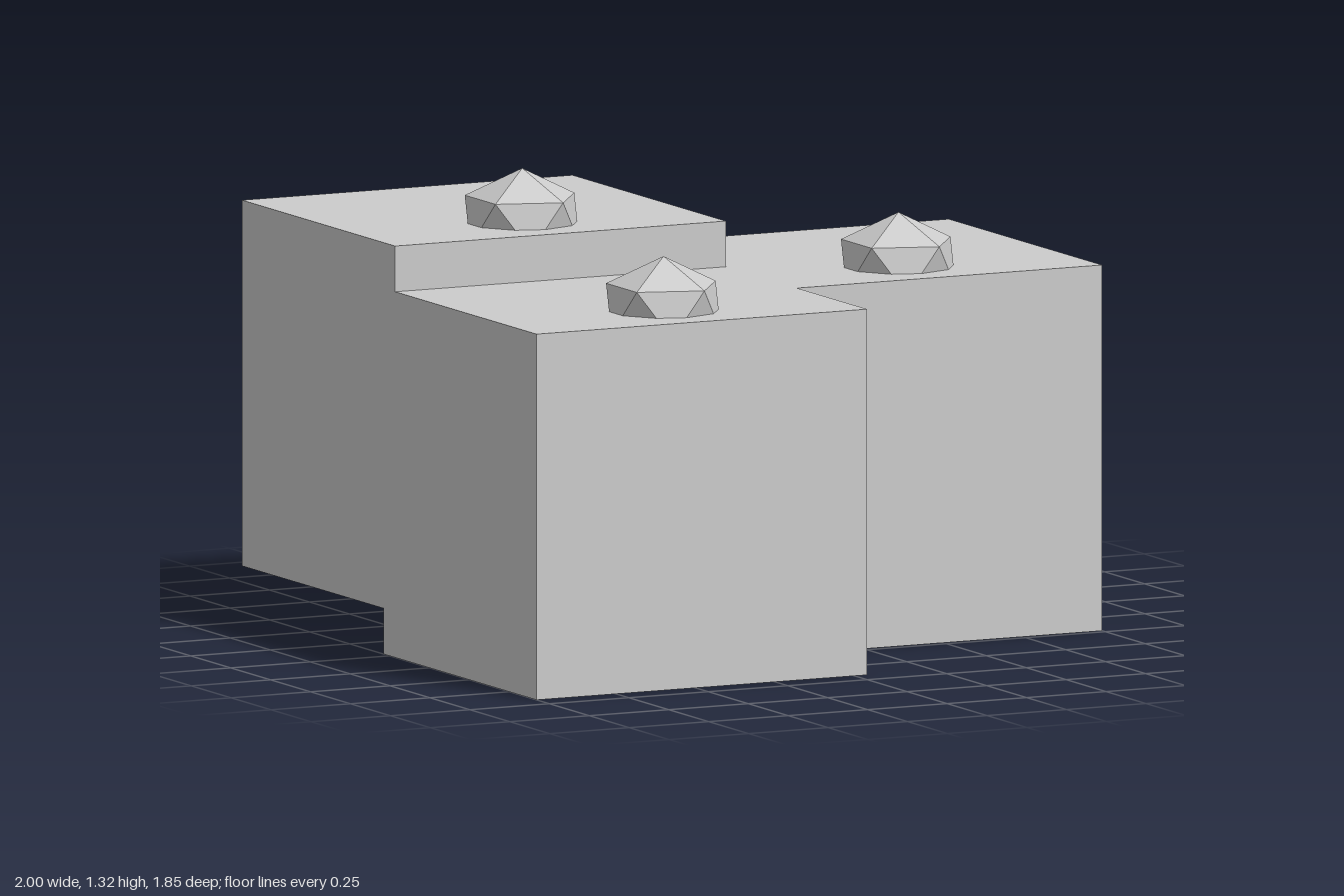
import * as THREE from 'three';

export function createModel() {
  const model = new THREE.Group();
  const grey = new THREE.MeshStandardMaterial({ color: 0xcccccc, flatShading: true });
  grey.name = 'lightGrey';

  const W = 1.04, H = 1.04, D = 0.96;
  const blockGeometry = new THREE.BoxGeometry(W, H, D).translate(0, H / 2, 0);

  // Faceted knob: icosahedron standing on a vertex, another pointing to +x, slightly flattened
  const knobGeometry = new THREE.IcosahedronGeometry(0.183, 0)
    .rotateZ(-Math.atan(2 / (1 + Math.sqrt(5))))
    .scale(1, 0.8, 1);

  // One block with its half-sunken knob near the front of the top
  function addBlock(name, x, y, z) {
    const group = new THREE.Group();
    group.name = name;
    const block = new THREE.Mesh(blockGeometry, grey);
    block.name = 'block';
    const knob = new THREE.Mesh(knobGeometry, grey);
    knob.name = 'knob';
    knob.position.set(0, H + 0.007, 0.24);
    group.add(block, knob);
    group.position.set(x, y, z);
    model.add(group);
  }

  addBlock('frontBlock', -0.48, 0, 0.44);
  addBlock('sideBlock', 0.48, 0, 0);
  addBlock('raisedBackBlock', -0.48, 0.13, -0.445);

  return model;
}
